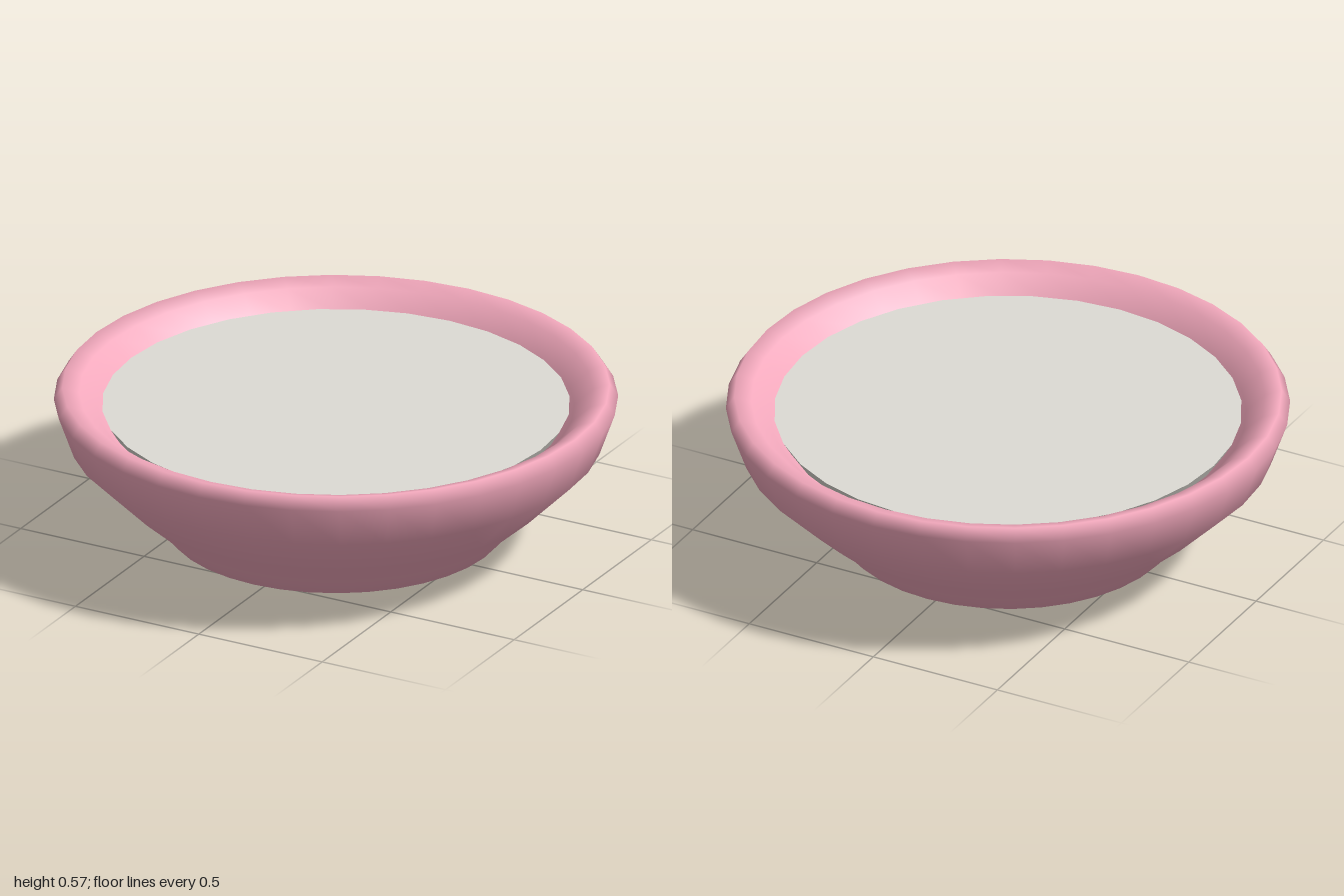
import * as THREE from 'three';

// Turns a list of [radius, height] pairs into a smooth solid of revolution
function turned(name, profile, segments, color) {
  const points = profile.map(([r, y]) => new THREE.Vector2(r, y));
  const mesh = new THREE.Mesh(
    new THREE.LatheGeometry(points, segments),
    new THREE.MeshStandardMaterial({ color })
  );
  mesh.name = name;
  return mesh;
}

export function createModel() {
  const model = new THREE.Group();
  model.name = 'filledBowl';

  // Bowl wall: underside, foot, flared side, rounded rim, then the hollow inside
  model.add(turned('bowl', [
    [0, 0], [0.51, 0], [0.6, 0.037], [0.655, 0.1], [0.78, 0.21],
    [0.945, 0.375], [1, 0.53], [0.97, 0.575], [0.91, 0.555],
    [0.845, 0.495], [0.74, 0.36], [0.58, 0.2], [0.45, 0.12], [0, 0.1],
  ], 36, 0xf2a8bc));

  // Flat filling just below the rim
  const filling = new THREE.Mesh(
    new THREE.CylinderGeometry(0.83, 0.8, 0.05, 32),
    new THREE.MeshStandardMaterial({ color: 0xdddbd4 })
  );
  filling.name = 'filling';
  filling.position.y = 0.48;
  model.add(filling);

  return model;
}
